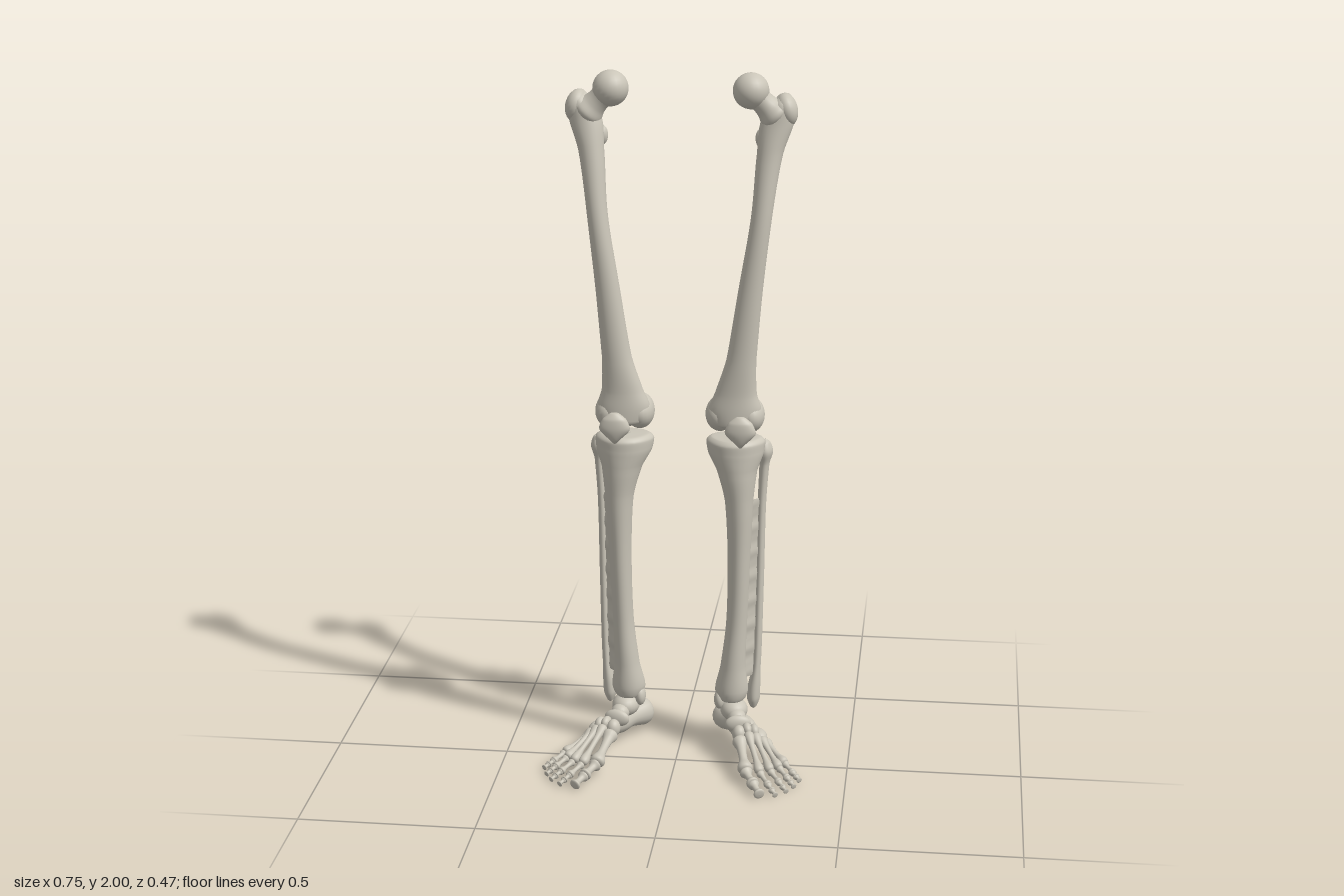
import * as THREE from 'three';

const bone = new THREE.MeshStandardMaterial({ color: 0xcac5b8, side: THREE.DoubleSide });
bone.name = 'bone';

// Smooth upright bone; rows run bottom to top as [x, y, z, radiusX, radiusZ]
function loft(rows, ridge = 0, sides = 28) {
  const centre = new THREE.CatmullRomCurve3(rows.map(r => new THREE.Vector3(r[0], r[1], r[2])));
  const radius = new THREE.CatmullRomCurve3(rows.map(r => new THREE.Vector3(r[3], r[4], 0)));
  const steps = (rows.length - 1) * 6;
  const pos = [], index = [];
  for (let i = 0; i <= steps; i++) {
    const c = centre.getPoint(i / steps), r = radius.getPoint(i / steps);
    for (let j = 0; j < sides; j++) {
      const a = (j / sides) * Math.PI * 2;
      const k = 1 + ridge * Math.cos(3 * (a - Math.PI / 2)); // crest facing forward
      pos.push(c.x + Math.cos(a) * Math.max(r.x, 0.0005) * k, c.y, c.z + Math.sin(a) * Math.max(r.y, 0.0005) * k);
      if (i < steps) {
        const p = i * sides + j, q = i * sides + (j + 1) % sides;
        index.push(p, p + sides, q, q, p + sides, q + sides);
      }
    }
  }
  const g = new THREE.BufferGeometry();
  g.setAttribute('position', new THREE.Float32BufferAttribute(pos, 3));
  g.setIndex(index);
  g.computeVertexNormals();
  return g;
}

// Rounded lump: centre, radii, turn about y and tilt about z
function lump(c, r, yaw = 0, tilt = 0) {
  return new THREE.SphereGeometry(1, 24, 16).scale(...r).rotateZ(tilt).rotateY(yaw).translate(...c);
}

// Turned bone between two points; profile is [fraction, radius factor]
const LONG = [[0, 0], [0.02, 0.75], [0.1, 1], [0.3, 0.62], [0.65, 0.55], [0.87, 0.95], [0.97, 0.75], [1, 0]];
function turned(a, b, r, profile = LONG) {
  const start = new THREE.Vector3(...a), dir = new THREE.Vector3(...b).sub(start);
  const len = dir.length();
  const pts = new THREE.SplineCurve(profile.map(([t, f]) => new THREE.Vector2(f * r, t * len))).getPoints(28);
  pts.forEach(p => { p.x = Math.max(p.x, 0); });
  const q = new THREE.Quaternion().setFromUnitVectors(new THREE.Vector3(0, 1, 0), dir.normalize());
  return new THREE.LatheGeometry(pts, 18).applyQuaternion(q).translate(...a);
}

// Ragged sheet between the two shin bones
function membrane() {
  const g = new THREE.PlaneGeometry(1, 1, 1, 36), p = g.attributes.position;
  for (let i = 0; i < p.count; i++) {
    const t = p.getY(i) + 0.5, y = 0.22 + t * 0.55;
    const rag = 0.003 * Math.sin(t * 47) + 0.002 * Math.sin(t * 91);
    if (p.getX(i) < 0) p.setXYZ(i, 0.182 + rag, y, -0.108 + 0.01 * t);
    else p.setXYZ(i, 0.221 + 0.009 * t, y, -0.143 + rag);
  }
  g.computeVertexNormals();
  return g;
}

function legParts() {
  const parts = [];
  const add = (name, g) => parts.push([name, g]);

  // Thigh bone
  add('thighShaft', loft([
    [0.158, 0.995, -0.075, 0.02, 0.015], [0.158, 1.01, -0.078, 0.06, 0.036], [0.158, 1.05, -0.084, 0.075, 0.043],
    [0.161, 1.1, -0.08, 0.059, 0.037], [0.176, 1.2, -0.075, 0.042, 0.034], [0.2, 1.4, -0.071, 0.034, 0.031],
    [0.227, 1.6, -0.078, 0.029, 0.031], [0.247, 1.78, -0.107, 0.036, 0.036], [0.264, 1.86, -0.124, 0.046, 0.041],
    [0.28, 1.915, -0.13, 0.032, 0.038], [0.284, 1.938, -0.138, 0.014, 0.02], [0.284, 1.942, -0.14, 0.001, 0.001]]));
  add('hipBall', lump([0.193, 1.95, -0.113], [0.05, 0.05, 0.05]));
  add('thighNeck', turned([0.27, 1.872, -0.125], [0.198, 1.946, -0.113], 0.045,
    [[0, 0], [0.05, 0.8], [0.2, 1], [0.45, 0.78], [0.7, 0.72], [1, 0.85]]));
  add('outerHipKnob', lump([0.289, 1.897, -0.13], [0.031, 0.046, 0.043], 0.2, 0.2));
  add('innerHipKnob', lump([0.222, 1.815, -0.138], [0.018, 0.028, 0.018]));
  add('innerKneeKnuckle', lump([0.116, 1.031, -0.112], [0.043, 0.051, 0.062], -0.12));
  add('outerKneeKnuckle', lump([0.2, 1.031, -0.106], [0.041, 0.05, 0.06], 0.12));
  add('kneecap', loft([
    [0.178, 0.952, -0.038, 0.004, 0.004], [0.178, 0.965, -0.036, 0.016, 0.013], [0.178, 0.998, -0.034, 0.044, 0.019],
    [0.178, 1.025, -0.034, 0.034, 0.017], [0.178, 1.042, -0.036, 0.012, 0.008], [0.178, 1.044, -0.036, 0.001, 0.001]]));

  // Shin bone
  add('shinBone', loft([
    [0.152, 0.15, -0.105, 0.001, 0.001], [0.152, 0.153, -0.105, 0.036, 0.028], [0.152, 0.185, -0.105, 0.048, 0.036],
    [0.156, 0.26, -0.1, 0.036, 0.03], [0.166, 0.4, -0.098, 0.03, 0.028], [0.172, 0.6, -0.088, 0.032, 0.033],
    [0.172, 0.78, -0.076, 0.04, 0.036], [0.165, 0.87, -0.08, 0.057, 0.045], [0.16, 0.92, -0.095, 0.079, 0.06],
    [0.159, 0.95, -0.1, 0.083, 0.064], [0.159, 0.965, -0.1, 0.068, 0.052], [0.159, 0.967, -0.1, 0.001, 0.001]], 0.06));
  add('shinRidge', lump([0.168, 0.88, -0.05], [0.022, 0.04, 0.016]));
  add('kneeSpine', lump([0.159, 0.966, -0.1], [0.017, 0.014, 0.02]));
  add('innerAnkleKnob', lump([0.117, 0.152, -0.105], [0.016, 0.03, 0.024]));

  // Calf bone beside the shin
  add('calfBone', loft([
    [0.213, 0.107, -0.152, 0.001, 0.001], [0.213, 0.115, -0.151, 0.01, 0.012], [0.213, 0.145, -0.147, 0.019, 0.021],
    [0.215, 0.18, -0.143, 0.018, 0.018], [0.222, 0.25, -0.143, 0.012, 0.014], [0.228, 0.5, -0.146, 0.012, 0.013],
    [0.232, 0.75, -0.146, 0.012, 0.012], [0.238, 0.87, -0.145, 0.014, 0.014], [0.24, 0.91, -0.143, 0.022, 0.022],
    [0.24, 0.938, -0.145, 0.014, 0.014], [0.24, 0.946, -0.147, 0.001, 0.001]], 0.08));
  add('shinMembrane', membrane());

  // Heel and ankle
  add('heelBone', turned([0.114, 0.057, -0.226], [0.212, 0.064, -0.07], 0.042,
    [[0, 0], [0.01, 0.55], [0.08, 0.95], [0.2, 1], [0.45, 0.78], [0.7, 0.88], [0.93, 0.68], [1, 0]]));
  add('ankleBone', lump([0.16, 0.122, -0.105], [0.04, 0.034, 0.045], 0.2));
  add('ankleBoneHead', lump([0.172, 0.112, -0.068], [0.027, 0.025, 0.028], 0.2));
  add('archBone', lump([0.178, 0.106, -0.037], [0.038, 0.026, 0.016], 0.2));
  add('outerArchBone', lump([0.236, 0.062, -0.052], [0.026, 0.024, 0.034], 0.45));
  [[0.184, 0.088, -0.006, 0.02, 0.026], [0.206, 0.1, -0.016, 0.014, 0.018], [0.226, 0.09, -0.026, 0.015, 0.021]]
    .forEach(([x, y, z, rx, ry], i) => add('wedgeBone' + (i + 1), lump([x, y, z], [rx, ry, 0.022], 0.3)));

  // Toes: base, knuckle, tip, long bone radius, toe radius
  const rays = [
    [[0.188, 0.08, 0.012], [0.216, 0.035, 0.132], [0.265, 0.013, 0.232], 0.023, 0.019],
    [[0.211, 0.096, 0.002], [0.257, 0.033, 0.133], [0.309, 0.01, 0.224], 0.015, 0.012],
    [[0.23, 0.088, -0.008], [0.286, 0.03, 0.113], [0.338, 0.01, 0.197], 0.0145, 0.0115],
    [[0.248, 0.07, -0.022], [0.309, 0.027, 0.083], [0.357, 0.009, 0.161], 0.0145, 0.0115],
    [[0.258, 0.045, -0.055], [0.322, 0.023, 0.042], [0.37, 0.009, 0.12], 0.0155, 0.0115],
  ];
  rays.forEach(([base, knuckle, tip, r1, r2], i) => {
    add('footLongBone' + (i + 1), turned(base, knuckle, r1));
    const cuts = i === 0 ? [0, 0.54, 1] : [0, 0.55, 0.79, 1];
    const at = t => knuckle.map((v, k) => v + (tip[k] - v) * t);
    for (let j = 0; j < cuts.length - 1; j++) {
      add(`toe${i + 1}Segment${j + 1}`, turned(at(cuts[j]), at(cuts[j + 1]), r2 * (1 - 0.12 * j)));
    }
  });
  return parts;
}

// Mirror across x = 0 and reverse the face order
function mirrored(g) {
  const m = g.clone().scale(-1, 1, 1), a = m.index.array;
  for (let i = 0; i < a.length; i += 3) [a[i + 1], a[i + 2]] = [a[i + 2], a[i + 1]];
  return m;
}

export function createModel() {
  const model = new THREE.Group();
  model.name = 'legBones';
  const parts = legParts();
  for (const side of ['left', 'right']) {
    const leg = new THREE.Group();
    leg.name = side + 'Leg';
    for (const [name, g] of parts) {
      const mesh = new THREE.Mesh(side === 'left' ? g : mirrored(g), bone);
      mesh.name = name;
      leg.add(mesh);
    }
    model.add(leg);
  }
  return model;
}
